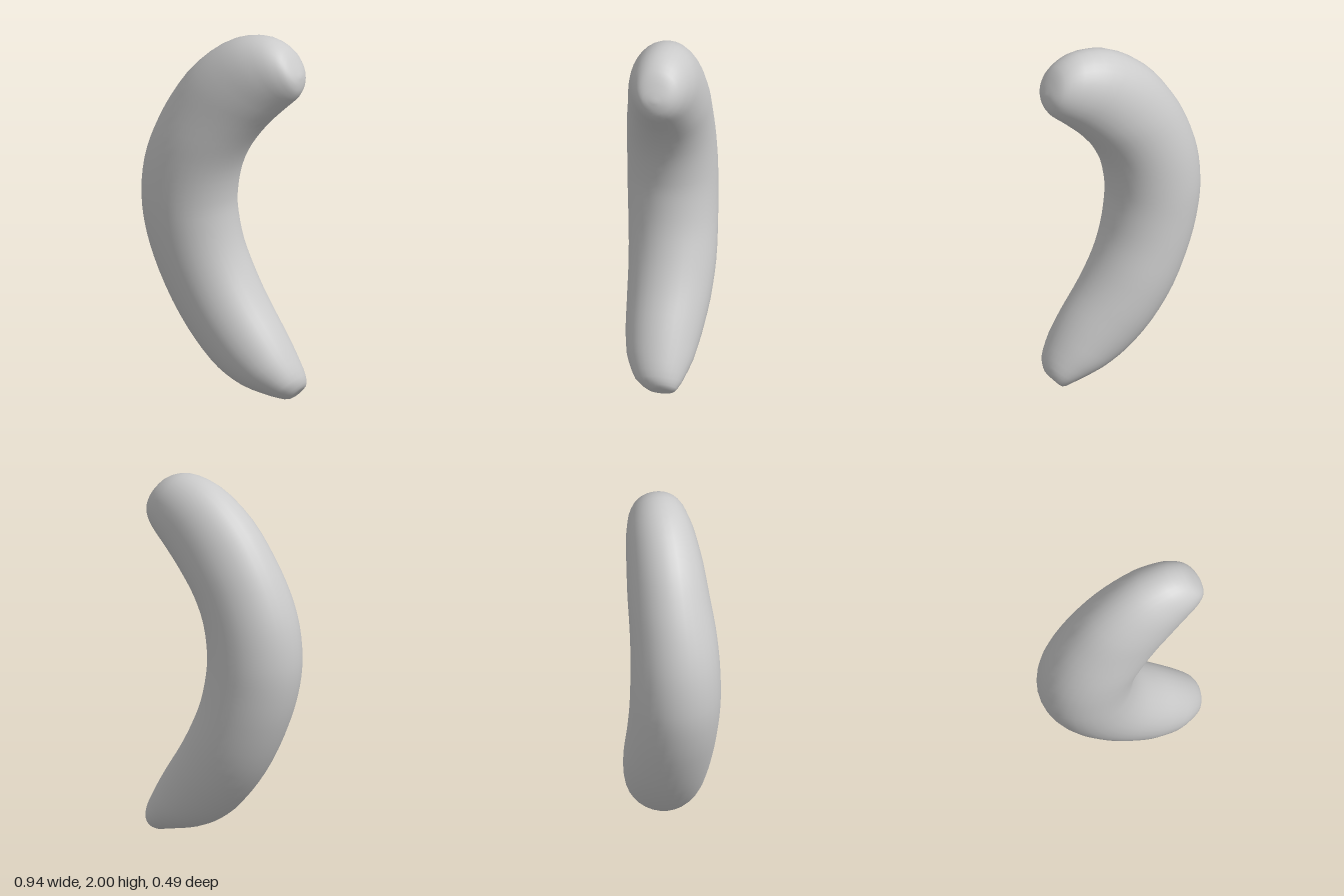
import * as THREE from 'three';
import { mergeVertices } from 'three/addons/utils/BufferGeometryUtils.js';

// Cross-sections from the lower tip to the upper tip:
// [outer x, outer y, inner x, inner y, centre z, half width in z]
const SECTIONS = [
  [0.43, 0.04, 0.43, 0.04, -0.035, 0],
  [0.39, 0.002, 0.46, 0.08, -0.03, 0.07],
  [0.31, 0.015, 0.457, 0.14, -0.01, 0.125],
  [0.14, 0.058, 0.40, 0.257, 0, 0.178],
  [-0.005, 0.135, 0.325, 0.378, -0.002, 0.203],
  [-0.15, 0.275, 0.22, 0.53, -0.01, 0.222],
  [-0.287, 0.47, 0.137, 0.68, -0.012, 0.233],
  [-0.398, 0.71, 0.083, 0.82, -0.003, 0.238],
  [-0.452, 0.90, 0.055, 0.97, 0.005, 0.24],
  [-0.47, 1.06, 0.052, 1.075, 0.008, 0.24],
  [-0.452, 1.25, 0.082, 1.235, 0.01, 0.236],
  [-0.40, 1.42, 0.147, 1.373, 0.008, 0.229],
  [-0.305, 1.61, 0.24, 1.497, 0, 0.217],
  [-0.155, 1.81, 0.315, 1.573, -0.003, 0.202],
  [0.06, 1.965, 0.38, 1.635, -0.007, 0.179],
  [0.25, 2.0, 0.43, 1.682, -0.006, 0.147],
  [0.37, 1.955, 0.457, 1.725, -0.003, 0.11],
  [0.435, 1.87, 0.465, 1.77, 0, 0.065],
  [0.463, 1.815, 0.463, 1.815, 0, 0],
];

// Closed skin lofted through elliptical rings
function loft(rings, sides) {
  const curve = (pick) => new THREE.CatmullRomCurve3(SECTIONS.map((s) => new THREE.Vector3(...pick(s))));
  const outer = curve((s) => [s[0], s[1], 0]);
  const inner = curve((s) => [s[2], s[3], 0]);
  const depth = curve((s) => [s[4], s[5], 0]);
  const positions = [];
  const index = [];
  for (let i = 0; i <= rings; i++) {
    const o = outer.getPoint(i / rings);
    const n = inner.getPoint(i / rings);
    const d = depth.getPoint(i / rings);
    const centre = o.clone().add(n).multiplyScalar(0.5);
    const radius = o.clone().sub(centre);
    for (let j = 0; j < sides; j++) {
      const a = (j / sides) * Math.PI * 2;
      const p = centre.clone().addScaledVector(radius, Math.cos(a));
      positions.push(p.x, p.y, d.x + d.y * Math.sin(a));
      if (i === rings) continue;
      const k = (j + 1) % sides;
      const A = i * sides + j, B = i * sides + k;
      index.push(A, B, B + sides, A, B + sides, A + sides);
    }
  }
  let geometry = new THREE.BufferGeometry();
  geometry.setAttribute('position', new THREE.Float32BufferAttribute(positions, 3));
  geometry.setIndex(index);
  geometry = mergeVertices(geometry);
  geometry.computeVertexNormals();
  return geometry;
}

export function createModel() {
  const group = new THREE.Group();
  group.name = 'curvedFruit';
  const body = new THREE.Mesh(loft(54, 32), new THREE.MeshStandardMaterial({ color: 0xcccccc }));
  body.name = 'curvedBody';
  group.add(body);
  return group;
}
